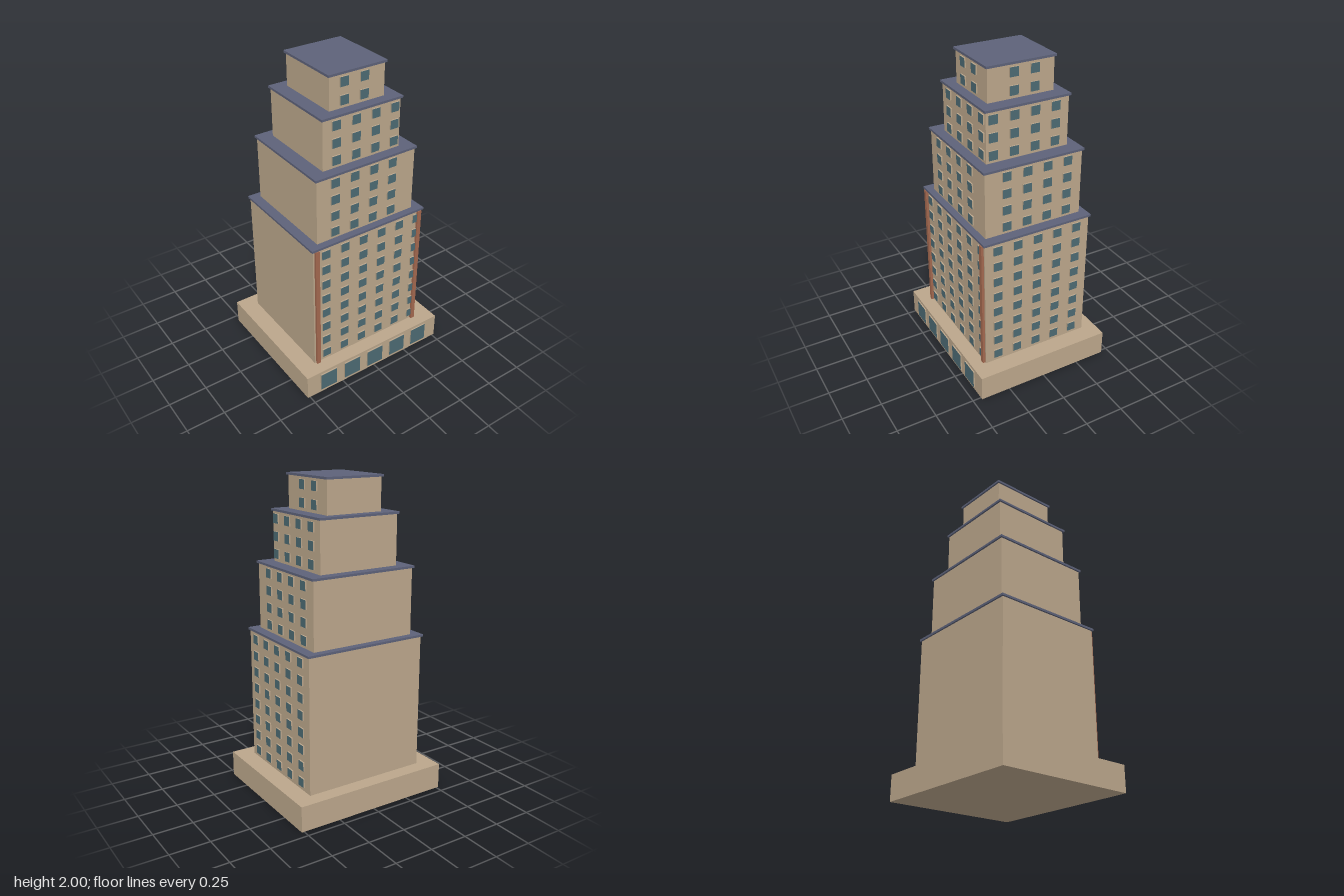
import * as THREE from 'three';

export function createModel() {
  const mat = (name, color) => {
    const m = new THREE.MeshStandardMaterial({ color });
    m.name = name;
    return m;
  };
  const stone = mat('tan stone', 0xbba68b);
  const glass = mat('teal glass', 0x4c6a73);
  const roof = mat('slate roof', 0x5d6279);
  const brick = mat('red brick', 0xa3684f);

  const tower = new THREE.Group();
  tower.name = 'steppedTower';
  const CZ = -0.004; // tower axis, set back by the front windows

  // Box from its centre in x and z and its bottom and top in y
  const block = (parent, name, material, w, d, y0, y1, x = 0, z = CZ) => {
    const mesh = new THREE.Mesh(new THREE.BoxGeometry(w, y1 - y0, d), material);
    mesh.name = name;
    mesh.position.set(x, (y0 + y1) / 2, z);
    parent.add(mesh);
    return mesh;
  };

  // Window plate: stone edges with a glass pane on the outer (+z) face
  const paneMaterials = [stone, stone, stone, stone, glass, stone];
  const plate = (size, depth) => new THREE.BoxGeometry(size, size, depth);
  const T = 0.009;
  const smallWindow = plate(0.057, T);
  const addWindow = (parent, geometry, x, y, z, onSide) => {
    const mesh = new THREE.Mesh(geometry, paneMaterials);
    mesh.name = onSide ? 'sideWindow' : 'frontWindow';
    mesh.position.set(x, y, z);
    if (onSide) mesh.rotation.y = Math.PI / 2;
    parent.add(mesh);
  };

  // Podium with five large shop windows
  const podium = new THREE.Group();
  podium.name = 'podium';
  tower.add(podium);
  block(podium, 'podiumBlock', stone, 1.032, 0.896, 0, 0.163);
  const shopWindow = plate(0.12, 0.008);
  for (let i = -2; i <= 2; i++) addWindow(podium, shopWindow, i * 0.18, 0.084, 0.448, false);

  // Tiers: body size, bottom, roof top, first window row, row count,
  // first window and count along the front (x) and along the side (z)
  const STEP = 0.135, ROW = 0.1077, SLAB = 0.014;
  const tiers = [
    { w: 0.804, d: 0.714, y0: 0.163, y1: 1.033, row: 0.217, rows: 8, fx: -0.315, nx: 6, fz: -0.27, nz: 5 },
    { w: 0.696, d: 0.644, y0: 1.033, y1: 1.462, row: 1.082, rows: 4, fx: -0.225, nx: 4, fz: -0.225, nz: 4 },
    { w: 0.536, d: 0.536, y0: 1.462, y1: 1.785, row: 1.511, rows: 3, fx: -0.18, nx: 4, fz: -0.183, nz: 4 },
    { w: 0.376, d: 0.429, y0: 1.785, y1: 2.0, row: 1.834, rows: 2, fx: -0.09, nx: 2, fz: -0.09, nz: 2 },
  ];
  tiers.forEach((t, i) => {
    const tier = new THREE.Group();
    tier.name = 'tier' + (i + 1);
    tower.add(tier);
    block(tier, 'tierBody', stone, t.w, t.d, t.y0, t.y1 - SLAB);
    block(tier, 'roofSlab', roof, t.w + 0.02, t.d + 0.02, t.y1 - SLAB, t.y1);
    for (let r = 0; r < t.rows; r++) {
      const y = t.row + r * ROW;
      for (let c = 0; c < t.nx; c++)
        addWindow(tier, smallWindow, t.fx + c * STEP, y, CZ + t.d / 2 + T / 2, false);
      for (let c = 0; c < t.nz; c++)
        addWindow(tier, smallWindow, t.w / 2 + T / 2, y, t.fz + c * STEP, true);
    }
  });

  // Brick pilasters at the front corners of the lowest tier
  for (const s of [-1, 1])
    block(tower, 'cornerPilaster', brick, 0.027, 0.03, 0.163, 1.019, s * 0.378, 0.354);

  return tower;
}
